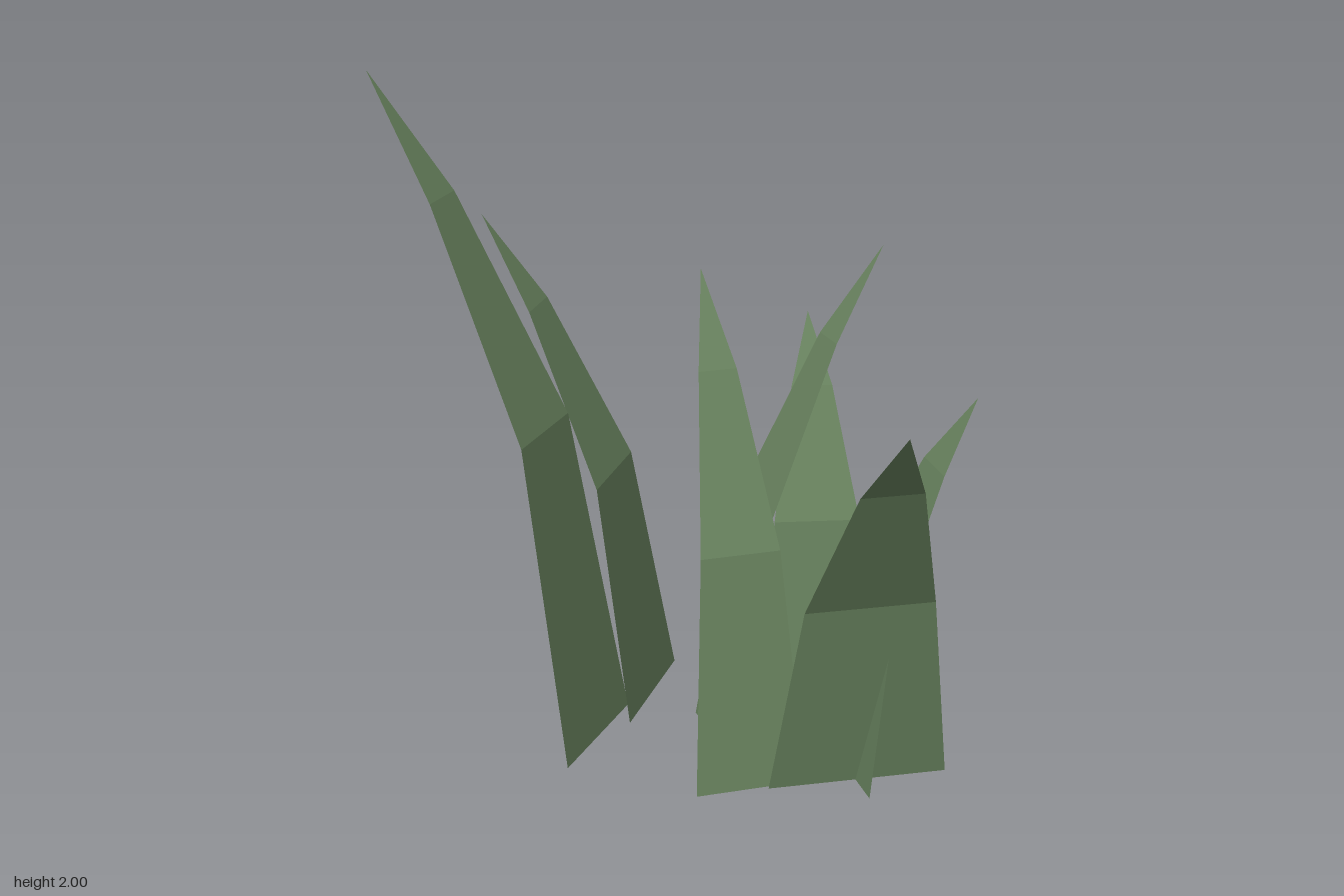
import * as THREE from 'three';

// Cross-sections shared by every blade: fractions of height, lean and width
const LEVELS = [
  { y: 0, lean: 0, width: 1 },
  { y: 0.483, lean: 0.225, width: 0.72 },
  { y: 0.822, lean: 0.67, width: 0.345 },
  { y: 1, lean: 1, width: 0 },
];

// A thin bent blade rising from (x, z) and leaning toward direction (dx, dz)
function bladeGeometry({ x, z, dx, dz, height, width }) {
  const dir = new THREE.Vector2(dx, dz).normalize();
  const lean = height * 0.35;
  const rows = LEVELS.map((l) => [-0.5, 0.5].map((s) => [
    x + dir.x * lean * l.lean - dir.y * width * l.width * s,
    height * l.y,
    z + dir.y * lean * l.lean + dir.x * width * l.width * s,
  ]));
  const positions = [];
  for (let i = 0; i < rows.length - 1; i++) {
    const [a, b] = rows[i];
    const [c, d] = rows[i + 1];
    positions.push(...a, ...c, ...b);
    if (i < rows.length - 2) positions.push(...b, ...c, ...d);
  }
  const geometry = new THREE.BufferGeometry();
  geometry.setAttribute('position', new THREE.Float32BufferAttribute(positions, 3));
  geometry.computeVertexNormals();
  return geometry;
}

// Base centre, lean direction, height and base width of each blade
const BLADES = [
  { name: 'tallBlade', x: -0.25, z: -0.213, dx: -0.51, dz: -0.477, height: 2, width: 0.46 },
  { name: 'backBlade', x: 0.012, z: -0.441, dx: -0.412, dz: -0.324, height: 1.51, width: 0.466 },
  { name: 'frontBlade', x: 0.362, z: 0.334, dx: -0.067, dz: 0.423, height: 1.23, width: 0.537 },
  { name: 'middleBlade', x: 0.049, z: 0.275, dx: 0.04, dz: -0.5, height: 1.44, width: 0.333 },
  { name: 'centreBlade', x: 0.083, z: -0.08, dx: 1, dz: -0.01, height: 1.495, width: 0.34 },
  { name: 'leftBlade', x: 0.367, z: 0.22, dx: 0.386, dz: 0.036, height: 1.115, width: 0.475 },
  { name: 'backLeftBlade', x: 0.488, z: -0.237, dx: 0.115, dz: -0.38, height: 1.13, width: 0.367 },
];

export function createModel() {
  const group = new THREE.Group();
  group.name = 'grassTuft';
  const green = new THREE.MeshStandardMaterial({
    color: 0x68825e, flatShading: true, side: THREE.DoubleSide,
  });
  green.name = 'grassGreen';
  for (const blade of BLADES) {
    const mesh = new THREE.Mesh(bladeGeometry(blade), green);
    mesh.name = blade.name;
    group.add(mesh);
  }
  return group;
}
